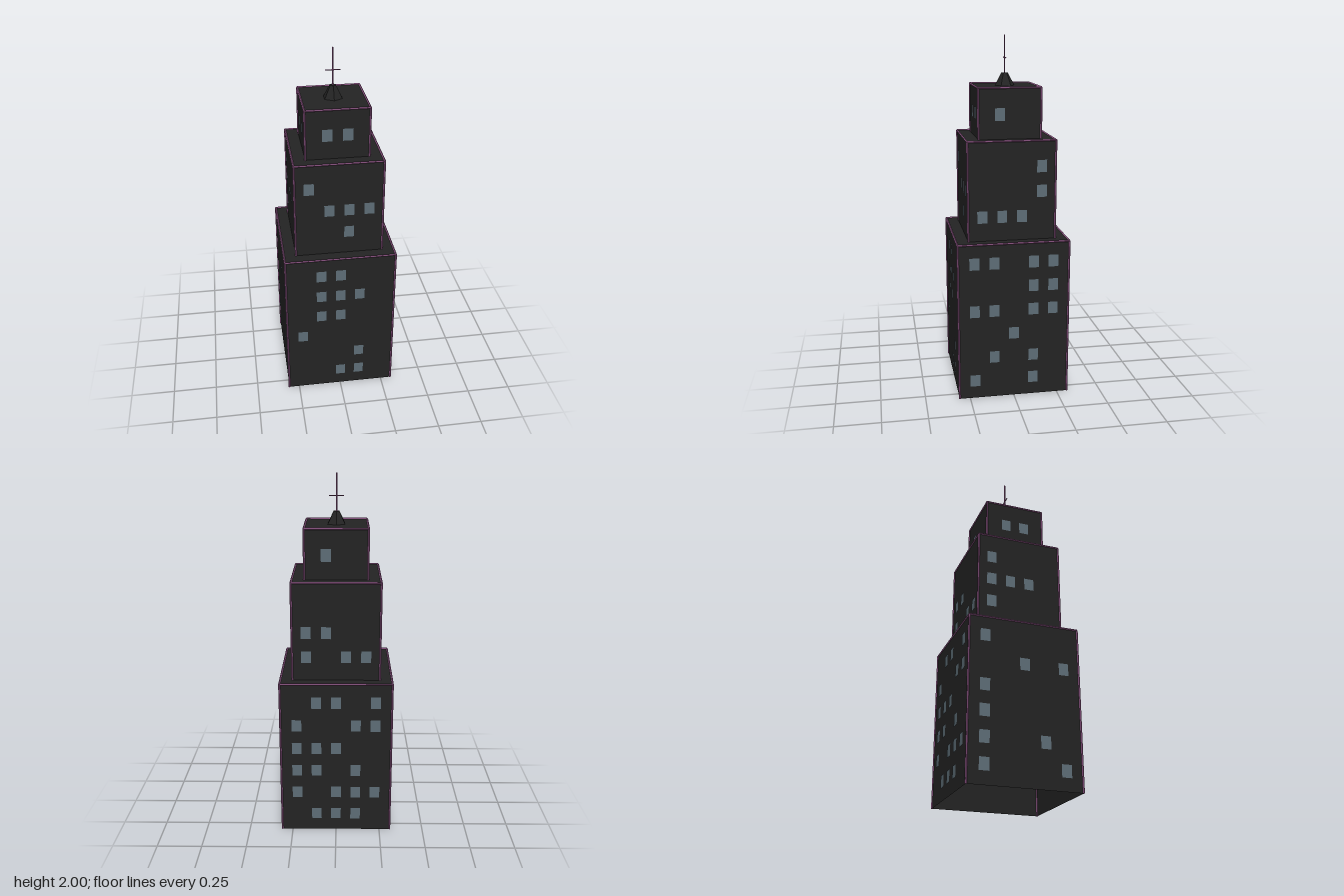
import * as THREE from 'three';

const body = new THREE.MeshStandardMaterial({ color: 0x232323, side: THREE.DoubleSide, flatShading: true });
body.name = 'charcoal wall';
const trim = new THREE.MeshStandardMaterial({ color: 0x955a8c, flatShading: true });
trim.name = 'mauve trim';
const glass = new THREE.MeshStandardMaterial({ color: 0x5d6d76 });
glass.name = 'blue grey window';

// Lit windows per face (front, right, back, left): rows run from the top down, columns left to right
const tiers = [
  {
    name: 'lowerTier', half: 0.31, y0: 0, y1: 0.9, rowTop: 0.792,
    faces: [
      ['.xx..', '.xxx.', '.xx..', 'x....', '...x.', '..xx.'],
      ['xx.xx', '...xx', 'xx.xx', '..x..', '.x.x.', 'x..x.'],
      ['.xx.x', 'x..xx', 'xxx..', 'xx.x.', 'x.xxx', '.xxx.'],
      ['x....', '..x.x', 'x....', 'x....', 'x..x.', 'x...x'],
    ],
  },
  {
    name: 'middleTier', half: 0.2425, y0: 0.9, y1: 1.45, rowTop: 1.31,
    faces: [
      ['x...', '.xxx', '..x.'],
      ['...x', '...x', 'xxx.'],
      ['....', 'xx..', 'x.xx'],
      ['x...', 'xxx.', 'x...'],
    ],
  },
  {
    name: 'upperTier', half: 0.173, y0: 1.45, y1: 1.727, rowTop: 1.585,
    faces: [['xx'], ['x.'], ['x.'], ['xx']],
  },
];

function add(parent, name, geometry, material, x = 0, y = 0, z = 0) {
  const mesh = new THREE.Mesh(geometry, material);
  mesh.name = name;
  mesh.position.set(x, y, z);
  parent.add(mesh);
  return mesh;
}

// Box without its bottom face
function openBox(w, h) {
  const geo = new THREE.BoxGeometry(w, h, w);
  const index = Array.from(geo.index.array);
  index.splice(18, 6);
  geo.setIndex(index);
  geo.clearGroups();
  return geo;
}

function buildTier({ name, half, y0, y1, rowTop, faces }) {
  const tier = new THREE.Group();
  tier.name = name;
  const h = y1 - y0;
  add(tier, 'walls', openBox(half * 2, h), body, 0, (y0 + y1) / 2, 0);

  const pane = new THREE.PlaneGeometry(0.055, 0.068);
  const rail = new THREE.CylinderGeometry(0.0055, 0.0055, half * 2, 4);
  const post = new THREE.CylinderGeometry(0.0055, 0.0055, h, 4);

  faces.forEach((rows, i) => {
    const side = new THREE.Group();
    side.name = ['front', 'right', 'back', 'left'][i] + 'Side';
    side.rotation.y = i * Math.PI / 2;
    // Edge trim: one roof rail and one corner post per side
    add(side, 'roofTrim', rail, trim, 0, y1, half).rotation.z = Math.PI / 2;
    add(side, 'cornerTrim', post, trim, half, (y0 + y1) / 2, half);
    // Windows
    rows.forEach((row, r) => [...row].forEach((c, k) => {
      if (c !== 'x') return;
      add(side, 'window', pane, glass, (k - (row.length - 1) / 2) * 0.11, rowTop - r * 0.1374, half + 0.003);
    }));
    tier.add(side);
  });
  return tier;
}

export function createModel() {
  const model = new THREE.Group();
  model.name = 'skyscraper';
  tiers.forEach((t) => model.add(buildTier(t)));

  // Rooftop antenna
  const antenna = new THREE.Group();
  antenna.name = 'antenna';
  add(antenna, 'antennaBase', new THREE.CylinderGeometry(0.018, 0.055, 0.069, 6), body, 0, 1.7615, 0);
  add(antenna, 'mast', new THREE.CylinderGeometry(0.004, 0.004, 0.21, 4), trim, 0, 1.895, 0);
  add(antenna, 'crossbar', new THREE.CylinderGeometry(0.003, 0.003, 0.082, 4), trim, 0, 1.878, 0).rotation.z = Math.PI / 2;
  model.add(antenna);
  return model;
}
